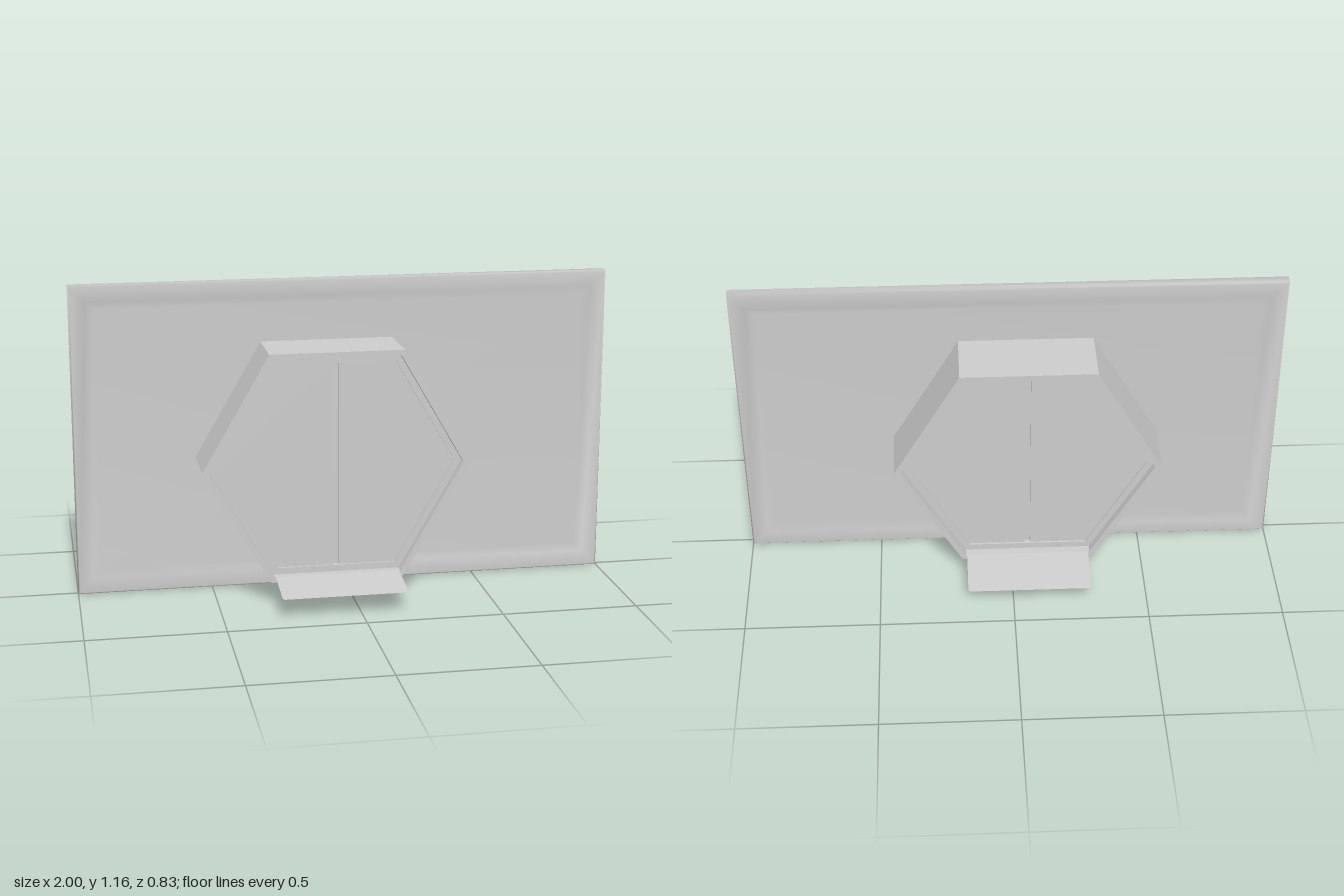
import * as THREE from 'three';

const CX = -0.06, CY = 0.505; // centre of the hexagonal doorway
const Z0 = -0.005, HEIGHT = 1.16;
const grey = new THREE.MeshStandardMaterial({ color: 0xcccccc });
const thin = new THREE.MeshStandardMaterial({ color: 0xcccccc, side: THREE.DoubleSide });

function add(parent, name, geometry, material = grey) {
  const mesh = new THREE.Mesh(geometry, material);
  mesh.name = name;
  parent.add(mesh);
  return mesh;
}

function hexPoints(r) {
  return Array.from({ length: 6 }, (_, i) =>
    new THREE.Vector2(r * Math.cos(i * Math.PI / 3), r * Math.sin(i * Math.PI / 3)));
}

// Extrusion centred on z = 0
function slab(shape, depth) {
  return new THREE.ExtrudeGeometry(shape, { depth, bevelEnabled: false }).translate(0, 0, -depth / 2);
}

function hexRing(outer, inner, depth) {
  const shape = new THREE.Shape(hexPoints(outer));
  shape.holes.push(new THREE.Path(hexPoints(inner).reverse()));
  return slab(shape, depth);
}

// Wall with a raised, softly shaded border: rectangular loops running front to back
function wallGeometry() {
  const front = [[0.09, 0.008], [0.06, 0.023], [0.006, 0.023], [0, 0.017]]; // inset, z
  const loops = [...front, ...front.map(([d, z]) => [d, -z]).reverse()];
  const pos = [CX, CY, Z0 + 0.008];
  for (const [d, z] of loops) {
    for (const [sx, top] of [[-1, 0], [1, 0], [1, 1], [-1, 1]]) {
      pos.push(sx * (1 - d), top ? HEIGHT - d : d, Z0 + z);
    }
  }
  const last = pos.length / 3;
  pos.push(CX, CY, Z0 - 0.008);
  const index = [];
  for (let i = 0; i < 4; i++) {
    const j = (i + 1) % 4;
    index.push(0, 1 + i, 1 + j);
    for (let k = 0; k < loops.length - 1; k++) {
      const a = 1 + k * 4 + i, b = 1 + k * 4 + j;
      index.push(a, a + 4, b + 4, a, b + 4, b);
    }
    index.push(last - 4 + i, last, last - 4 + j);
  }
  const g = new THREE.BufferGeometry();
  g.setAttribute('position', new THREE.Float32BufferAttribute(pos, 3));
  g.setIndex(index);
  g.computeVertexNormals();
  return g;
}

// Flat ramp plate with slightly rounded outer corners, hinged at its inner edge
function rampGeometry() {
  const w = 0.23, l = 0.18, r = 0.012;
  const s = new THREE.Shape();
  s.moveTo(-w, 0);
  s.lineTo(-w, l - r);
  s.quadraticCurveTo(-w, l, -w + r, l);
  s.lineTo(w - r, l);
  s.quadraticCurveTo(w, l, w, l - r);
  s.lineTo(w, 0);
  s.closePath();
  return new THREE.ShapeGeometry(s, 4).rotateX(Math.PI / 2 + 0.14);
}

export function createModel() {
  const model = new THREE.Group();
  model.name = 'wallWithHexagonalDoor';
  add(model, 'wall', wallGeometry());

  const doorway = new THREE.Group();
  doorway.name = 'doorway';
  doorway.position.set(CX, CY, 0);
  model.add(doorway);

  // Stepped frame
  add(doorway, 'outerFrame', hexRing(0.4925, 0.468, 0.477));
  add(doorway, 'innerFrame', hexRing(0.468, 0.44, 0.415));

  // Two sliding door halves with a recessed seam between them
  for (const side of [1, -1]) {
    const gap = 0.01, r = 0.44, h = r * Math.sqrt(3) / 2;
    const half = [[gap, -h], [r / 2, -h], [r, 0], [r / 2, h], [gap, h]]
      .map(([x, y]) => new THREE.Vector2(side * x, y));
    add(doorway, side > 0 ? 'leftDoor' : 'rightDoor', slab(new THREE.Shape(half), 0.4));
  }
  add(doorway, 'doorSeam', new THREE.BoxGeometry(0.02, 0.762, 0.375));

  // Entry ramps at the front and back
  for (const side of [1, -1]) {
    const ramp = add(doorway, side > 0 ? 'frontRamp' : 'backRamp', rampGeometry(), thin);
    ramp.position.set(0, 0.1 - CY, side * 0.238);
    ramp.rotation.y = side > 0 ? 0 : Math.PI;
  }
  return model;
}
